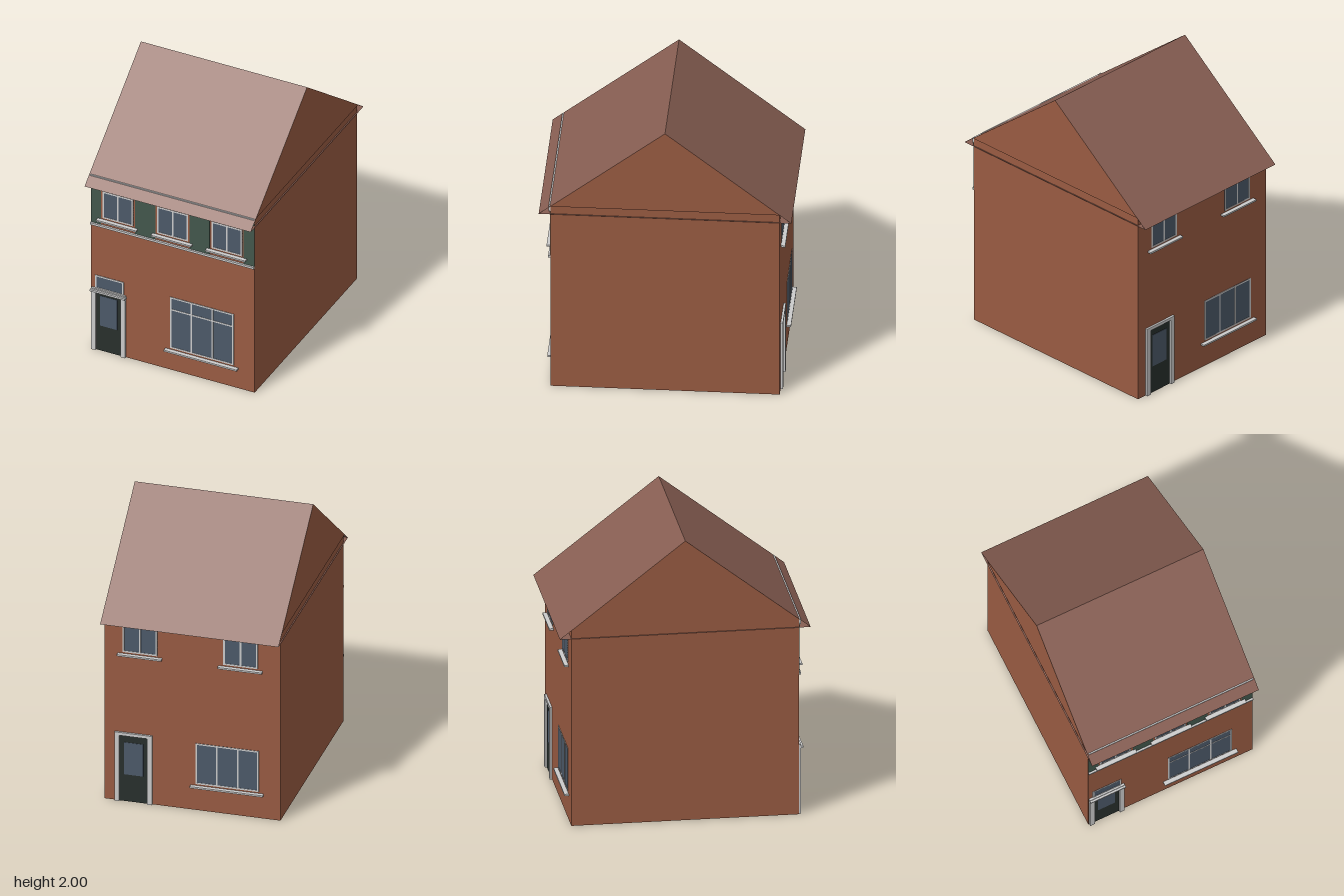
import * as THREE from 'three';

const mat = (color, side = THREE.FrontSide) => new THREE.MeshStandardMaterial({ color, side });
const BRICK = mat(0x995b42, THREE.DoubleSide), ROOF = mat(0x875e52, THREE.DoubleSide);
const TRIM = mat(0xcccccc), GREEN = mat(0x42574c), GLASS = mat(0x4c5969), DOOR = mat(0x282f2c);

const W = 0.612, D = 0.77, EAVE = 1.4, RIDGE = 2;                        // walls
const RW = 0.621, RD = 0.848, RY = RIDGE - RD * (RIDGE - EAVE) / D;      // roof overhang

// Box spanning x0..x1, y0..y1, standing out from the wall plane by d
function slab(parent, name, x0, x1, y0, y1, d, material) {
  const gap = 0.0005;
  const mesh = new THREE.Mesh(new THREE.BoxGeometry(x1 - x0, y1 - y0, d - gap), material);
  mesh.position.set((x0 + x1) / 2, (y0 + y1) / 2, D + (d + gap) / 2);
  mesh.name = name;
  parent.add(mesh);
}

// Framed window: equal lights across, optional transom bar and sill
function addWindow(parent, name, x0, x1, y0, y1, { lights = 2, bar = 0, sill = 0 } = {}) {
  const g = new THREE.Group();
  g.name = name;
  const t = 0.011, d = 0.004;
  slab(g, 'glass', x0, x1, y0, y1, 0.002, GLASS);
  slab(g, 'frameBottom', x0, x1, y0, y0 + t, d, TRIM);
  slab(g, 'frameTop', x0, x1, y1 - t, y1, d, TRIM);
  slab(g, 'frameSide', x0, x0 + t, y0, y1, d, TRIM);
  slab(g, 'frameSide', x1 - t, x1, y0, y1, d, TRIM);
  for (let i = 1; i < lights; i++) {
    const x = x0 + (x1 - x0) * i / lights;
    slab(g, 'mullion', x - t / 2, x + t / 2, y0, y1, d, TRIM);
  }
  if (bar) slab(g, 'transomBar', x0, x1, bar - t / 2, bar + t / 2, d, TRIM);
  if (sill) slab(g, 'sill', x0 - 0.034, x1 + 0.034, sill - 0.006, sill + 0.006, 0.03, TRIM);
  parent.add(g);
}

// Glazed door between two posts and a head
function addDoor(parent, name, x0, x1, top) {
  const g = new THREE.Group();
  g.name = name;
  const t = 0.034, head = 0.022;
  slab(g, 'leaf', x0 + t, x1 - t, 0, top - head, 0.002, DOOR);
  slab(g, 'doorGlass', x0 + t + 0.03, x1 - t - 0.03, 0.2, 0.44, 0.004, GLASS);
  slab(g, 'post', x0, x0 + t, 0, top, 0.016, TRIM);
  slab(g, 'post', x1 - t, x1, 0, top, 0.016, TRIM);
  slab(g, 'head', x0 + t, x1 - t, top - head, top, 0.016, TRIM);
  parent.add(g);
}

// Flat sheet from its corners in order round the edge
function sheet(parent, name, corners, material) {
  const geo = new THREE.BufferGeometry();
  geo.setAttribute('position', new THREE.Float32BufferAttribute(corners.flat(), 3));
  geo.setIndex(corners.length === 4 ? [0, 1, 2, 0, 2, 3] : [0, 1, 2]);
  geo.computeVertexNormals();
  const mesh = new THREE.Mesh(geo, material);
  mesh.name = name;
  parent.add(mesh);
}

export function createModel() {
  const house = new THREE.Group();
  house.name = 'house';

  // Hollow brick walls, open underneath; gables and roof slopes
  for (const s of [1, -1]) {
    const [w, d, rw, rd] = [s * W, s * D, s * RW, s * RD];
    sheet(house, s > 0 ? 'frontWall' : 'backWall',
      [[-w, 0, d], [w, 0, d], [w, EAVE, d], [-w, EAVE, d]], BRICK);
    sheet(house, s > 0 ? 'leftWall' : 'rightWall',
      [[w, 0, d], [w, 0, -d], [w, EAVE, -d], [w, EAVE, d]], BRICK);
    sheet(house, s > 0 ? 'leftGable' : 'rightGable',
      [[rw, EAVE, d], [rw, EAVE, -d], [rw, RIDGE, 0]], BRICK);
    sheet(house, s > 0 ? 'frontRoof' : 'backRoof',
      [[-rw, RY, rd], [rw, RY, rd], [rw, RIDGE, 0], [-rw, RIDGE, 0]], ROOF);
  }
  // Attic floor and the flat soffit under the eaves
  sheet(house, 'atticFloor', [[-RW, EAVE, -D], [RW, EAVE, -D], [RW, EAVE, D], [-RW, EAVE, D]], BRICK);
  sheet(house, 'soffit', [[-RW, RY, -RD], [RW, RY, -RD], [RW, RY, RD], [-RW, RY, RD]], ROOF);

  // Front: cladding between the upper windows, with trim bands
  const front = new THREE.Group();
  front.name = 'frontFacade';
  for (const [a, b] of [[-W, -0.535], [-0.28, -0.13], [0.125, 0.277], [0.53, W]])
    slab(front, 'cladding', a, b, 1.0, 1.37, 0.002, GREEN);
  slab(front, 'beltTrim', -W, W, 0.998, 1.014, 0.015, TRIM);
  slab(front, 'fascia', -W, W, 1.36, 1.398, 0.012, TRIM);
  for (const x of [-0.41, 0, 0.405])
    addWindow(front, 'upperWindow', x - 0.115, x + 0.115, 1.07, 1.36, { bar: 1.278, sill: 1.053 });
  addWindow(front, 'largeWindow', -0.02, 0.457, 0.175, 0.585, { lights: 3, bar: 0.485, sill: 0.157 });
  addDoor(front, 'frontDoor', -0.605, -0.35, 0.495);
  slab(front, 'doorShelf', -0.607, -0.345, 0.472, 0.486, 0.03, TRIM);
  addWindow(front, 'fanlight', -0.58, -0.365, 0.49, 0.597, { lights: 1 });
  house.add(front);

  // Back, laid out as seen from behind and turned round
  const back = new THREE.Group();
  back.name = 'backFacade';
  addDoor(back, 'backDoor', -0.54, -0.278, 0.515);
  addWindow(back, 'backLowerWindow', 0.022, 0.462, 0.195, 0.5, { lights: 3, sill: 0.178 });
  for (const x of [-0.365, 0.335])
    addWindow(back, 'backUpperWindow', x - 0.12, x + 0.12, 1.115, 1.36, { sill: 1.098 });
  back.rotation.y = Math.PI;
  house.add(back);
  return house;
}
